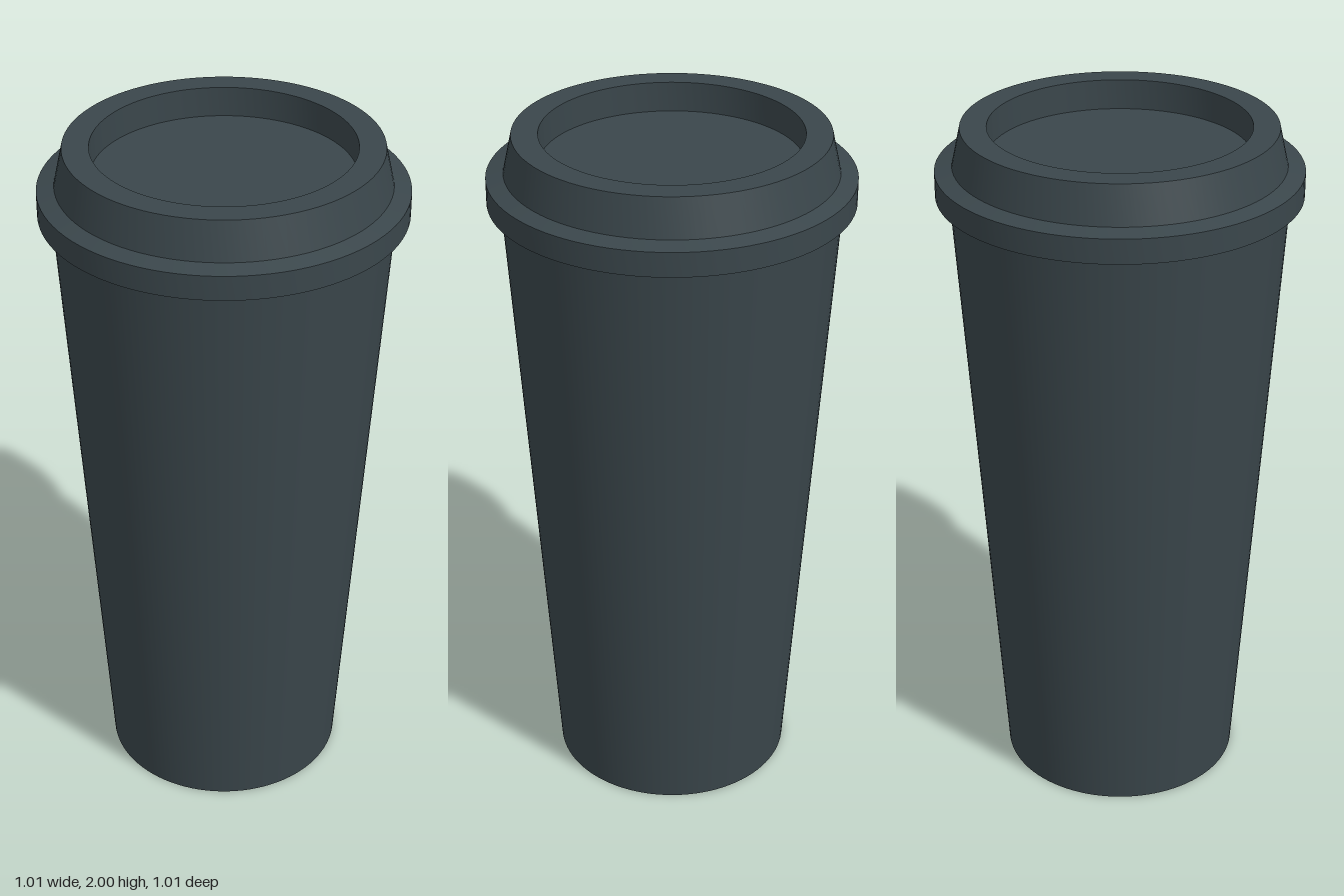
import * as THREE from 'three';
import { toCreasedNormals } from 'three/addons/utils/BufferGeometryUtils.js';

const slate = new THREE.MeshStandardMaterial({ color: 0x3a464b });
slate.name = 'dark slate';

// Revolve a [radius, height] profile, keeping its corners sharp
function turned(name, profile) {
  const points = profile.map(([r, y]) => new THREE.Vector2(r, y));
  const geometry = toCreasedNormals(new THREE.LatheGeometry(points, 96), 0.4);
  const mesh = new THREE.Mesh(geometry, slate);
  mesh.name = name;
  return mesh;
}

export function createModel() {
  const cup = new THREE.Group();
  cup.name = 'travelCup';

  // Tapered body with a flat base
  cup.add(turned('body', [[0, 0], [0.345, 0], [0.467, 1.803]]));

  // Lid: bevelled brim, tapered collar, flat rim and sunken floor
  cup.add(turned('lid', [
    [0.467, 1.8], [0.505, 1.81],
    [0.505, 1.88], [0.457, 1.892],
    [0.433, 2], [0.36, 2],
    [0.36, 1.914], [0, 1.914],
  ]));

  return cup;
}
